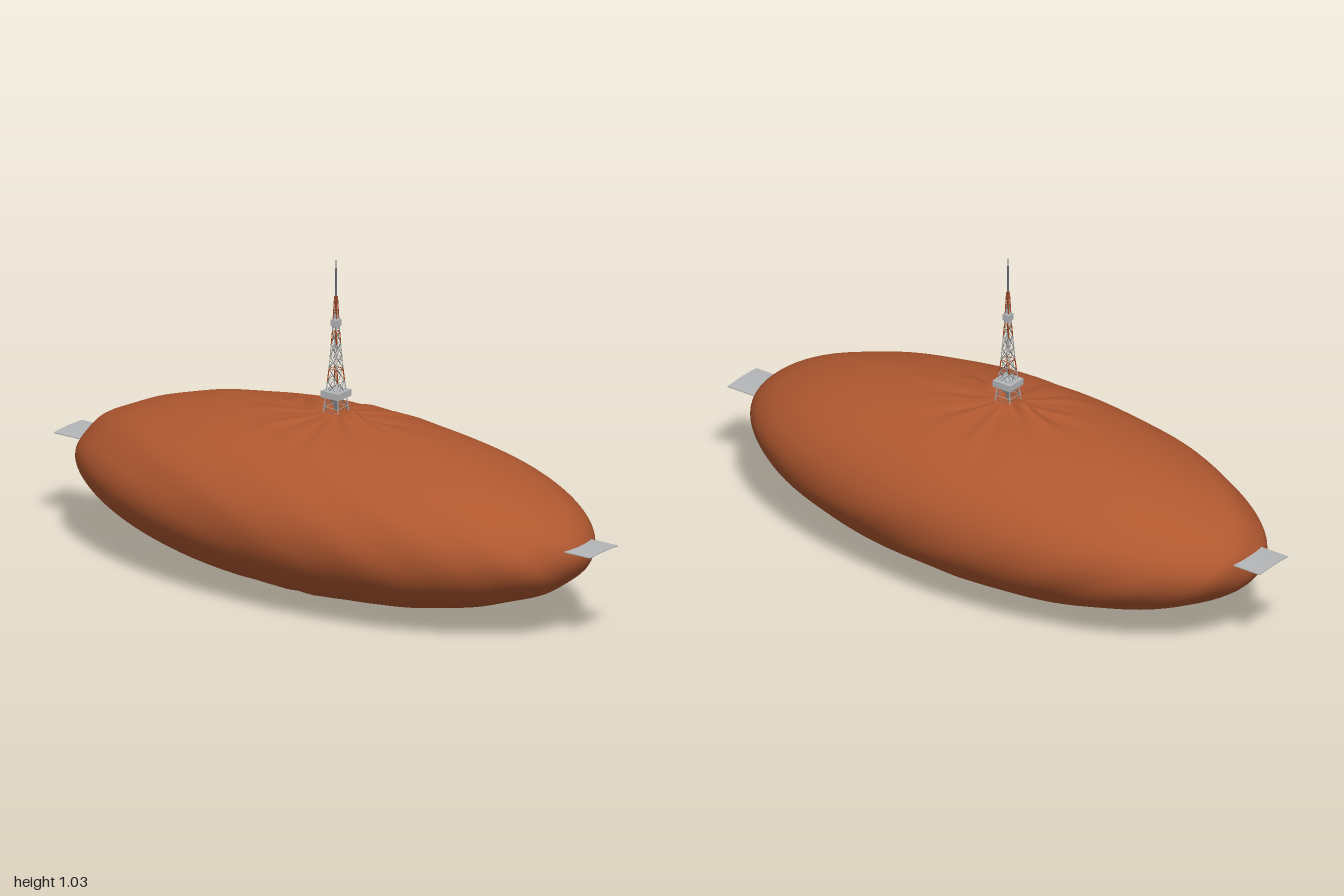
import * as THREE from 'three';
import { mergeVertices } from 'three/addons/utils/BufferGeometryUtils.js';

const rust = new THREE.MeshStandardMaterial({ color: 0xb05830 });
rust.name = 'rust rock';
const steel = new THREE.MeshStandardMaterial({ color: 0xb4b6b8 });
steel.name = 'pale steel';
const darkSteel = new THREE.MeshStandardMaterial({ color: 0x74787c });
darkSteel.name = 'dark steel';
const orange = new THREE.MeshStandardMaterial({ color: 0xb04a20 });
orange.name = 'orange paint';

function add(parent, name, geometry, material, x = 0, y = 0, z = 0) {
  const mesh = new THREE.Mesh(geometry, material);
  mesh.name = name;
  mesh.position.set(x, y, z);
  parent.add(mesh);
  return mesh;
}

// Thin bar between two points
function bar(parent, name, a, b, radius, material) {
  const dir = b.clone().sub(a);
  const mesh = add(parent, name, new THREE.CylinderGeometry(radius, radius, dir.length(), 5), material);
  mesh.position.copy(a).add(b).multiplyScalar(0.5);
  mesh.quaternion.setFromUnitVectors(new THREE.Vector3(0, 1, 0), dir.normalize());
}

// Lumpy ellipsoid with creases at the poles and a ridge across the crown
function rockGeometry() {
  let g = new THREE.SphereGeometry(1, 120, 96);
  g.deleteAttribute('uv');
  g.deleteAttribute('normal');
  g = mergeVertices(g, 1e-5);
  const p = g.attributes.position;
  const ridgeAngle = 0.27;
  for (let i = 0; i < p.count; i++) {
    const dx = p.getX(i), dy = p.getY(i), dz = p.getZ(i);
    const lump = 1 + 0.005 * Math.sin(7 * dx + 3 * dy) * Math.cos(6 * dz - 4 * dy + 1)
      + 0.003 * Math.sin(15 * dx - 11 * dz + 8 * dy);
    const x = 0.92 * dx * lump, z = 0.42 * dz * lump + 0.012 * dx * (1 - dx * dx);
    let y = 0.275 + 0.27 * dy * lump;
    const r = Math.hypot(x, z), a = Math.atan2(z, x);
    const crease = Math.sin(11 * a + 1) + 0.6 * Math.sin(19 * a + 2);
    const fade = (r / 0.08) ** 2 * Math.exp(-((r / 0.15) ** 2));
    y += Math.sign(dy) * 0.0022 * crease * fade;
    if (dy > 0) {
      const along = x * Math.cos(ridgeAngle) + z * Math.sin(ridgeAngle);
      const across = z * Math.cos(ridgeAngle) - x * Math.sin(ridgeAngle);
      const crest = Math.exp(-(((Math.abs(along) - 0.08) / 0.045) ** 2))
        + 0.4 * Math.exp(-(((Math.abs(along) - 0.17) / 0.04) ** 2));
      y += 0.03 * crest * Math.exp(-((across / 0.022) ** 2));
      y += 0.012 * Math.exp(-((r / 0.05) ** 2));
    }
    p.setXYZ(i, x, Math.max(y, 0), z);
  }
  g.computeVertexNormals();
  return g;
}

// Square lattice tower with two decks and a mast
function buildTower() {
  const tower = new THREE.Group();
  tower.name = 'tower';
  const levels = [
    [0.53, 0.030], [0.57, 0.026], [0.61, 0.022], [0.65, 0.0185], [0.69, 0.015],
    [0.73, 0.0125], [0.77, 0.010], [0.81, 0.0075], [0.85, 0.006], [0.885, 0.0045], [0.92, 0.003],
  ];
  const corners = [[1, 1], [-1, 1], [-1, -1], [1, -1]];
  const at = ([y, w], k) => new THREE.Vector3(corners[k % 4][0] * w, y, corners[k % 4][1] * w);
  for (let i = 0; i < levels.length - 1; i++) {
    const lo = levels[i], hi = levels[i + 1];
    const paint = i >= 8 || i === 3 || i === 6 ? orange : steel;
    for (let k = 0; k < 4; k++) {
      bar(tower, 'towerLeg', at(lo, k), at(hi, k), 0.0018, paint);
      bar(tower, 'towerBrace', at(lo, k), at(hi, k + 1), 0.0009, darkSteel);
      bar(tower, 'towerBrace', at(lo, k + 1), at(hi, k), 0.0009, darkSteel);
      bar(tower, 'towerRail', at(hi, k), at(hi, k + 1), 0.001, paint);
    }
  }
  add(tower, 'liftShaft', new THREE.BoxGeometry(0.008, 0.08, 0.008), darkSteel, 0, 0.57, 0);
  add(tower, 'mainDeck', new THREE.BoxGeometry(0.066, 0.021, 0.066), steel, 0, 0.611, 0);
  add(tower, 'upperDeck', new THREE.BoxGeometry(0.023, 0.021, 0.023), steel, 0, 0.836, 0);
  add(tower, 'upperCabin', new THREE.BoxGeometry(0.012, 0.014, 0.012), steel, 0, 0.857, 0);
  add(tower, 'lowerMast', new THREE.CylinderGeometry(0.0025, 0.003, 0.06, 8), orange, 0, 0.89, 0);
  add(tower, 'mast', new THREE.CylinderGeometry(0.0022, 0.0026, 0.117, 8), darkSteel, 0, 0.9765, 0);
  return tower;
}

export function createModel() {
  const model = new THREE.Group();
  model.name = 'rockWithTower';
  add(model, 'rock', rockGeometry(), rust);

  // Slightly bowed plates sticking out at both ends
  for (const side of [1, -1]) {
    const g = new THREE.BoxGeometry(0.2, 0.003, 0.144, 1, 1, 8);
    const p = g.attributes.position;
    for (let i = 0; i < p.count; i++) p.setY(i, p.getY(i) - 0.6 * p.getZ(i) ** 2);
    g.computeVertexNormals();
    add(model, side > 0 ? 'leftPlate' : 'rightPlate', g, steel, side * 0.9, 0.308, 0);
  }

  model.add(buildTower());
  return model;
}
